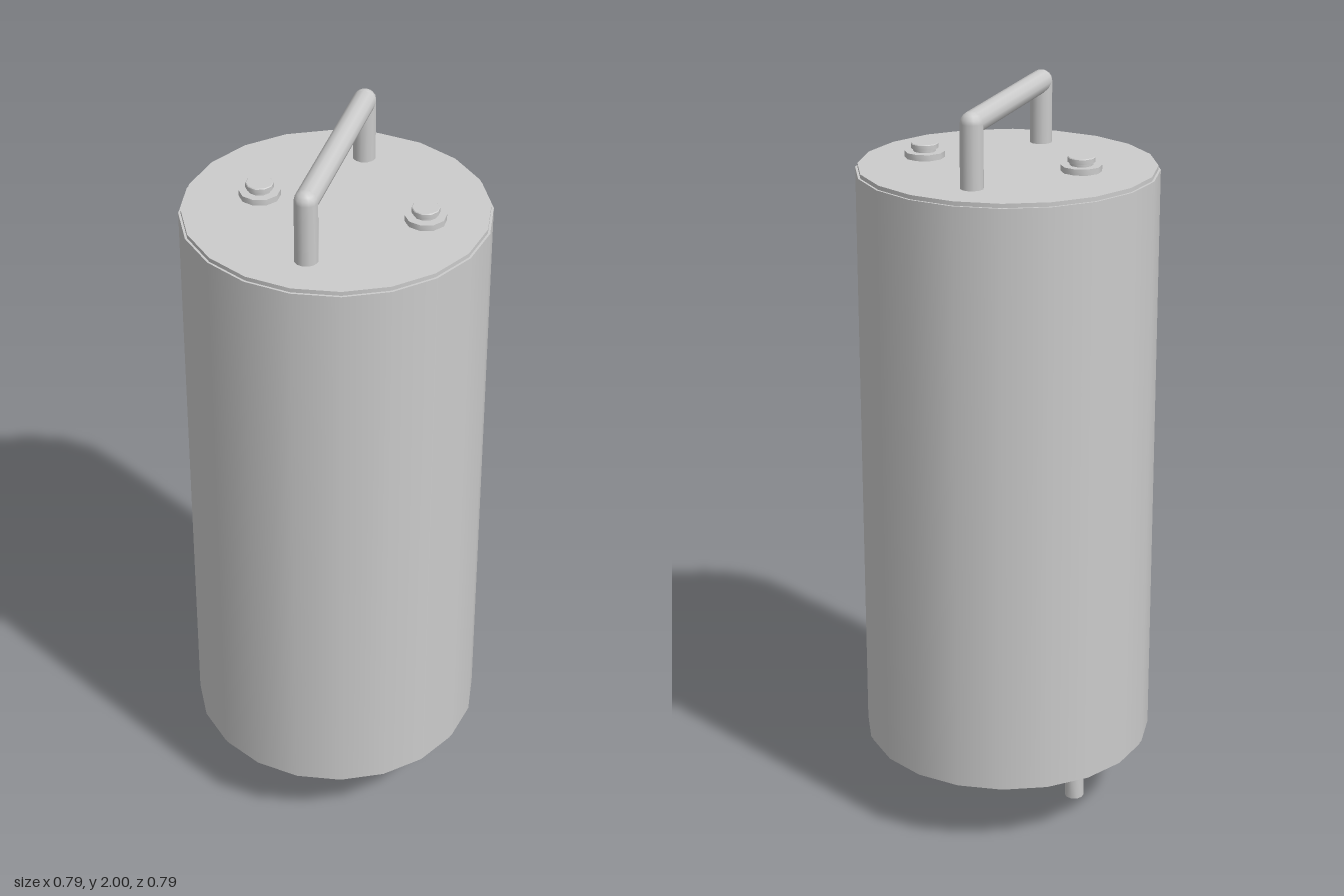
import * as THREE from 'three';
import { toCreasedNormals } from 'three/addons/utils/BufferGeometryUtils.js';

const material = new THREE.MeshStandardMaterial({ color: 0xcccccc });

function add(parent, name, geometry, x = 0, y = 0, z = 0) {
  const mesh = new THREE.Mesh(geometry, material);
  mesh.name = name;
  mesh.position.set(x, y, z);
  parent.add(mesh);
  return mesh;
}

// Closed turned part from [radius, y] pairs, listed bottom to top
function turned(profile, sides) {
  const points = profile.map(([r, y]) => new THREE.Vector2(r, y));
  return toCreasedNormals(new THREE.LatheGeometry(points, sides), 0.65);
}

export function createModel() {
  const model = new THREE.Group();
  model.name = 'canister';

  // Main drum and its slightly inset end discs
  add(model, 'drum', new THREE.CylinderGeometry(0.394, 0.394, 1.59, 20), 0, 1, 0);
  for (const [name, y] of [['topLid', 1.798], ['bottomLid', 0.202]]) {
    add(model, name, new THREE.CylinderGeometry(0.388, 0.388, 0.016, 20), 0, y, 0);
  }

  // Fittings: a collared cap above and a stepped pipe below
  const cap = turned([
    [0, 1.8], [0.053, 1.8], [0.053, 1.822], [0.03, 1.822], [0.03, 1.83],
    [0.036, 1.83], [0.036, 1.842], [0.034, 1.844], [0, 1.844],
  ], 10);
  const pipe = turned([
    [0, 0], [0.026, 0], [0.026, 0.068], [0.034, 0.068], [0.034, 0.178],
    [0.051, 0.178], [0.051, 0.2], [0, 0.2],
  ], 10);
  for (const [side, x] of [['right', -0.2], ['left', 0.23]]) {
    add(model, side + 'Cap', cap, x);
    add(model, side + 'Pipe', pipe, x);
  }

  // Carrying handle: two legs, rounded corners and a crossbar
  const handle = new THREE.Group();
  handle.name = 'handle';
  model.add(handle);
  const radius = 0.03, reach = 0.258, barY = 1.97;
  const leg = new THREE.CylinderGeometry(radius, radius, barY - 1.8, 12, 1, true);
  const corner = new THREE.SphereGeometry(radius, 12, 8);
  for (const z of [-reach, reach]) {
    add(handle, 'handleLeg', leg, 0, (barY + 1.8) / 2, z);
    add(handle, 'handleCorner', corner, 0, barY, z);
  }
  const bar = new THREE.CylinderGeometry(radius, radius, 2 * reach, 12, 1, true).rotateX(Math.PI / 2);
  add(handle, 'handleBar', bar, 0, barY, 0);

  return model;
}
